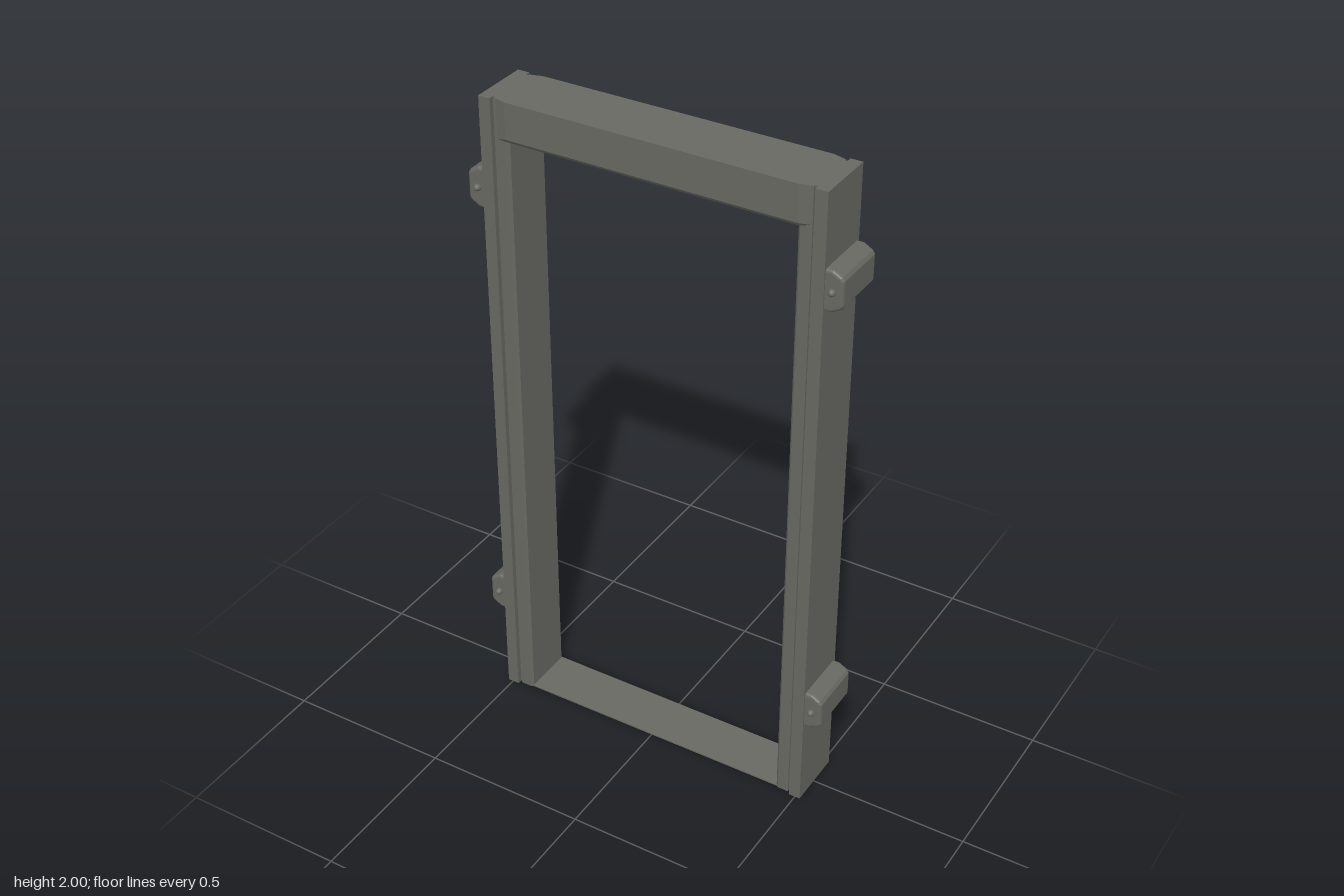
import * as THREE from 'three';

const MID_Z = -0.005;   // centre of the frame depth
const HALF = 0.0925;    // half of the frame depth

export function createModel() {
  const group = new THREE.Group();
  const metal = new THREE.MeshStandardMaterial({ color: 0x696963 });
  metal.name = 'dark grey metal';

  const add = (name, geometry, x = 0, y = 0, z = 0) => {
    const mesh = new THREE.Mesh(geometry, metal);
    mesh.name = name;
    mesh.position.set(x, y, z);
    group.add(mesh);
    return mesh;
  };

  // Post cross-section: outer strip, narrow groove, recessed inner strip, chamfer
  const half = [
    [0.516, HALF], [0.48, HALF], [0.48, 0.077], [0.472, 0.077],
    [0.472, 0.0835], [0.438, 0.0835], [0.431, 0.077],
  ];
  const postShape = (side) => {
    const points = [...half, ...half.slice().reverse().map(([x, z]) => [x, -z])];
    return new THREE.Shape(points.map(([x, z]) => new THREE.Vector2(side * x, z)));
  };

  // Bracket outline, narrowing away from the post
  const bracketShape = (side) => {
    const points = [[0, -0.052], [0.02, -0.052], [0.042, -0.04], [0.046, -0.034],
      [0.046, 0.034], [0.042, 0.04], [0.02, 0.052], [0, 0.052]];
    return new THREE.Shape(points.map(([x, y]) => new THREE.Vector2(side * x, y)));
  };

  for (const side of [-1, 1]) {
    const label = side > 0 ? 'left' : 'right';
    const post = new THREE.ExtrudeGeometry(postShape(side), { depth: 2, bevelEnabled: false });
    post.rotateX(-Math.PI / 2);
    add(`${label}Post`, post, 0, 0, MID_Z);

    for (const [level, y] of [['Lower', 0.341], ['Upper', 1.723]]) {
      const bracket = new THREE.ExtrudeGeometry(bracketShape(side), {
        depth: 0.157, bevelThickness: 0.01, bevelSize: 0.009, bevelSegments: 3,
      });
      add(`${label}${level}Bracket`, bracket, side * 0.513, y, -0.084);
      // Domed screw on the front of the bracket
      const screw = new THREE.SphereGeometry(0.011, 14, 7, 0, Math.PI * 2, 0, Math.PI / 2);
      screw.rotateX(Math.PI / 2);
      add(`${label}${level}Screw`, screw, side * 0.537, y, 0.083).scale.z = 1.25;
    }
  }

  // Lintel: a box with tapered ends and a chamfered lower edge
  let lintel = new THREE.BoxGeometry(3, 2, 2, 3, 2, 1);
  const pos = lintel.attributes.position;
  for (let i = 0; i < pos.count; i++) {
    const x = pos.getX(i), y = pos.getY(i);
    const isEnd = Math.abs(x) > 1;
    const inset = Math.max(isEnd ? 0.01 : 0, y < -0.5 ? 0.007 : 0);
    const newY = y < -0.5 ? 1.882 : y < 0.5 ? 1.892 : 2;
    pos.setXYZ(i, Math.sign(x) * (isEnd ? 0.471 : 0.435), newY, Math.sign(pos.getZ(i)) * (HALF - inset));
  }
  lintel = lintel.toNonIndexed();
  lintel.computeVertexNormals();
  add('lintel', lintel, 0, 0, MID_Z);

  // Thin floor plate joining the posts
  add('sill', new THREE.BoxGeometry(0.87, 0.004, 0.16), 0, 0.002, MID_Z);

  return group;
}
